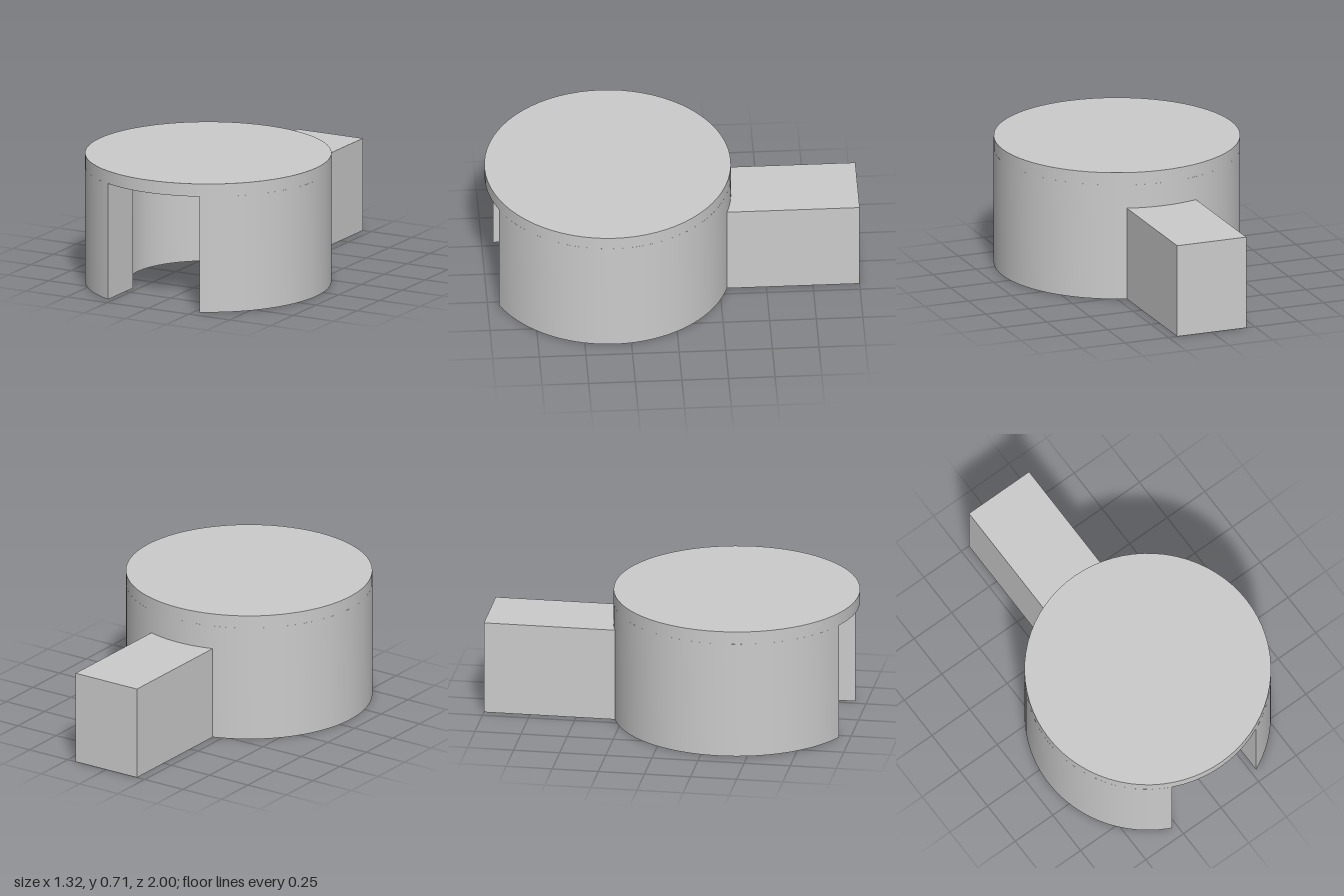
import * as THREE from 'three';
import { toCreasedNormals } from 'three/addons/utils/BufferGeometryUtils.js';

const R = 0.66, INNER = 0.43;          // cup radii
const HEIGHT = 0.71, ROOF = 0.64;      // cup top and cavity ceiling
const SLOT = 0.28;                     // half width of the front opening
const ARM = 0.2, ARM_HEIGHT = 0.51;    // half width and height of the arm
const CENTRE_Z = 0.34;
const BACK = Math.PI / 2;

export function createModel() {
  const model = new THREE.Group();
  const material = new THREE.MeshStandardMaterial({ color: 0xcccccc });

  function add(name, geometry, y = 0) {
    const mesh = new THREE.Mesh(geometry, material);
    mesh.name = name;
    mesh.position.set(0, y, CENTRE_Z);
    model.add(mesh);
  }

  // Plan outline (shape +y points to the back) raised to a height
  function raise(shape, height, curveSegments) {
    const geometry = new THREE.ExtrudeGeometry(shape, { depth: height, bevelEnabled: false, curveSegments });
    geometry.rotateX(-Math.PI / 2);
    return toCreasedNormals(geometry, 0.5);
  }

  // C-shaped wall with a parallel-sided opening at the front
  const outer = Math.PI - Math.asin(SLOT / R);
  const inner = Math.PI - Math.asin(SLOT / INNER);
  const wall = new THREE.Shape();
  wall.absarc(0, 0, R, BACK - outer, BACK + outer, false);
  wall.absarc(0, 0, INNER, BACK + inner, BACK - inner, true);
  wall.closePath();
  add('wall', raise(wall, ROOF, 64));

  // Solid round top closing the cavity
  add('top', new THREE.CylinderGeometry(R, R, HEIGHT - ROOF, 72), (HEIGHT + ROOF) / 2);

  // Rear arm, its inner end following the curve of the wall
  const spread = Math.asin(ARM / R);
  const arm = new THREE.Shape();
  arm.absarc(0, 0, R, BACK - spread, BACK + spread, false);
  arm.lineTo(-ARM, 1 + CENTRE_Z);
  arm.lineTo(ARM, 1 + CENTRE_Z);
  arm.closePath();
  add('arm', raise(arm, ARM_HEIGHT, 8));

  return model;
}
